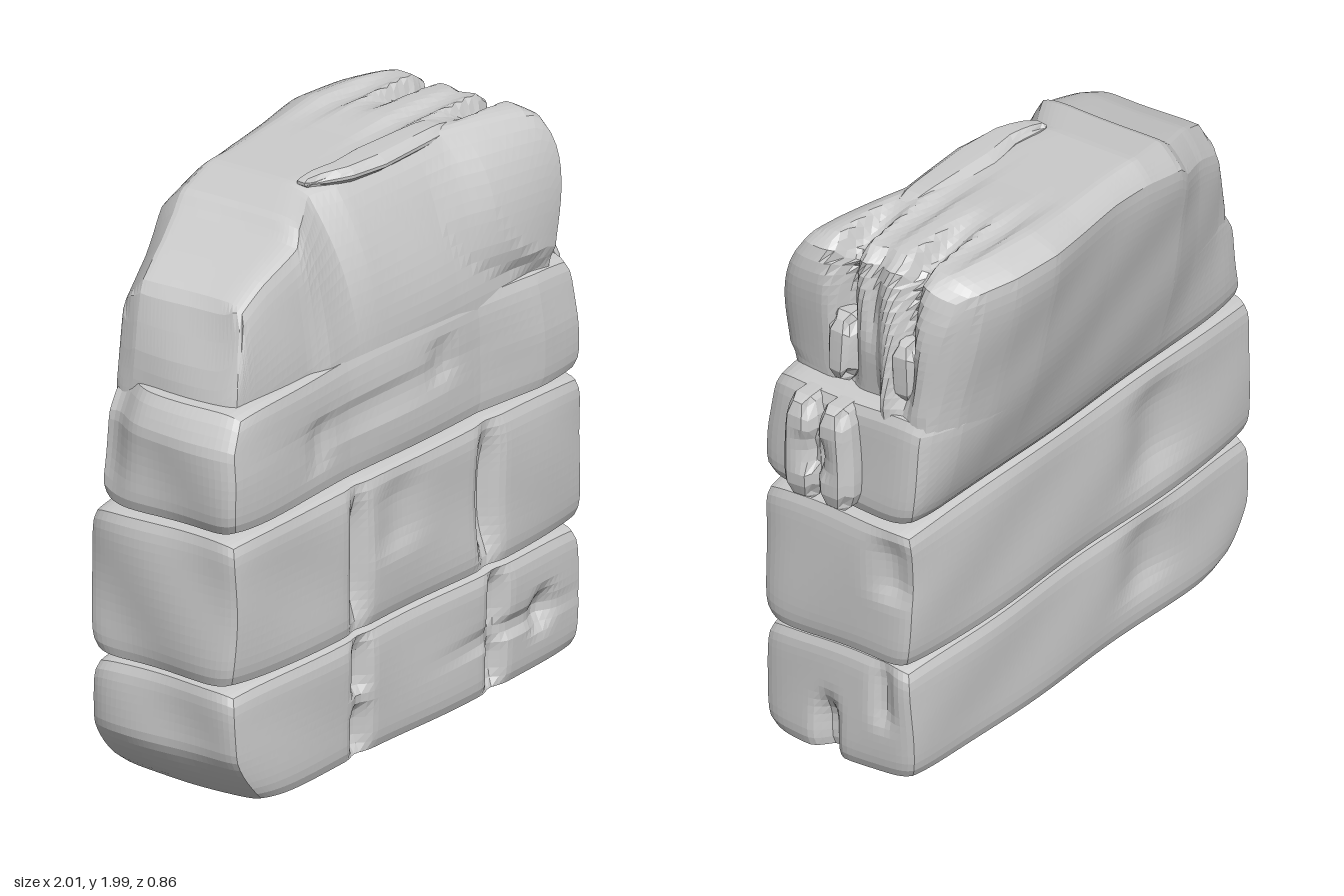
import * as THREE from 'three';

const stone = new THREE.MeshStandardMaterial({ color: 0xcccccc, flatShading: true });
const clamp01 = (v) => Math.min(Math.max(v, 0), 1);

// Piecewise-linear lookup through [t, value] pairs
function along(t, pts) {
  if (t <= pts[0][0]) return pts[0][1];
  for (let i = 1; i < pts.length; i++) {
    const [a, va] = pts[i - 1], [b, vb] = pts[i];
    if (t <= b) return va + (vb - va) * (t - a) / (b - a);
  }
  return pts[pts.length - 1][1];
}

// Where each axis finds the two coordinates that place a dent on its face
const ACROSS = { x: ['z', 'y'], y: ['x', 'z'], z: ['x', 'y'] };

// Worn block: a box with eased edges, reshaped by a rule, then dented.
// Dent: [axis, side, centre, half width, centre, half width, depth]; negative depth bulges.
function block(name, [x0, x1], [y0, y1], [z0, z1], round, segs, dents = [], shape = null) {
  const geo = new THREE.BoxGeometry(2, 2, 2, ...segs);
  const pos = geo.attributes.position;
  const q = new THREE.Vector3(), p = new THREE.Vector3();
  const mid = [(x0 + x1) / 2, (y0 + y1) / 2, (z0 + z1) / 2];
  const half = [(x1 - x0) / 2, (y1 - y0) / 2, (z1 - z0) / 2];
  for (let i = 0; i < pos.count; i++) {
    q.fromBufferAttribute(pos, i);
    const e = [q.x ** 8, q.y ** 8, q.z ** 8];
    const put = (k, v) => mid[k] + v * (half[k] - round * (e[(k + 1) % 3] + e[(k + 2) % 3]) / 2);
    p.set(put(0, q.x), put(1, q.y), put(2, q.z));
    if (shape) shape(p);
    const s = p.clone();
    for (const [axis, side, c1, w1, c2, w2, depth] of dents) {
      const [a, b] = ACROSS[axis];
      const facing = Math.max(q[axis] * side, 0) ** 6;
      const fall = Math.exp(-(((s[a] - c1) / w1) ** 2) - ((s[b] - c2) / w2) ** 4);
      p[axis] -= side * depth * facing * fall;
    }
    // Gentle weathering
    p.z += 0.007 * Math.sin(7 * s.x + 4 * s.y) * Math.sin(9 * s.y + 1) * q.z;
    p.x += 0.008 * Math.sin(11 * s.z + 9 * s.y) * q.x;
    pos.setXYZ(i, p.x, p.y, p.z);
  }
  geo.computeVertexNormals();
  const mesh = new THREE.Mesh(geo, stone);
  mesh.name = name;
  return mesh;
}

// Back face leans outwards as it rises, most on the right half
function backZ(x, y) {
  const far = along(x, [[-1, -0.2], [-0.8, -0.235], [-0.6, -0.3], [-0.45, -0.365], [0, -0.4], [0.4, -0.445], [0.6, -0.43], [0.75, -0.395], [0.84, -0.33], [0.91, -0.24]]);
  return -0.185 + (far + 0.185) * clamp01((y - 1) / 0.95) ** 0.68;
}

// Outline of the summit along x
const crest = [[-0.88, 1.46], [-0.79, 1.75], [-0.65, 1.81], [-0.46, 1.87], [-0.4, 1.92], [-0.2, 1.955], [0.2, 1.97], [0.4, 1.985], [0.75, 1.985], [0.84, 1.93]];

// Front of the crown: it slopes back to the summit, and a lobe swells on the right
function crownFront(x, y) {
  const low = along(x, [[-0.85, 0.33], [-0.48, 0.33], [-0.38, 0.35], [0.3, 0.355], [0.85, 0.38]]);
  const top = along(x, [[-0.85, 0.27], [-0.45, 0.25], [-0.22, 0.12], [-0.1, 0.17], [0.4, 0.22], [0.6, 0.28], [0.85, 0.36]]);
  const t = clamp01((y - 1.4) / 0.55);
  const rim = along(y, [[1.44, 0.7], [1.48, 0.5], [1.56, 0.36], [1.7, 0.28], [1.95, 0.28]]);
  return low + (top - low) * t ** 1.7 + 0.04 * clamp01((x - rim) / 0.22) * (1 - t ** 4);
}

function ledgeFront(x, y) {
  const z = along(x, [[-0.98, 0.41], [-0.6, 0.39], [-0.3, 0.375], [0.4, 0.375], [0.7, 0.415]]);
  return z - 0.015 * clamp01((y - 1.2) / 0.2);
}

export function createModel() {
  const g = new THREE.Group();
  g.name = 'stackedRock';

  // Bottom course, with upright joints on the front and right end
  g.add(block('bottomCourse', [-0.99, 0.905], [0, 0.46], [-0.205, 0.425], 0.03, [76, 14, 28], [
    ['z', 1, -0.305, 0.04, 0.33, 0.1, 0.06], ['z', 1, -0.305, 0.04, 0.11, 0.09, 0.06],
    ['z', 1, 0.43, 0.04, 0.33, 0.1, 0.06], ['z', 1, 0.43, 0.04, 0.11, 0.09, 0.06],
    ['z', 1, 0.5, 0.25, 0.22, 0.035, 0.02], ['z', 1, 0.68, 0.05, 0.22, 0.07, 0.035],
    ['x', 1, 0.16, 0.04, 0.06, 0.15, 0.07], ['x', 1, -0.08, 0.04, 0.32, 0.11, 0.03],
    ['z', -1, -0.4, 0.13, 0.28, 0.13, 0.035],
  ], (p) => {
    // lower left corner is worn away
    if (p.x < -0.6) p.x += 0.17 * ((-0.6 - p.x) / 0.4) * Math.max(0, 1 - p.y / 0.22) ** 1.5;
  }));

  // Middle course
  g.add(block('middleCourse', [-0.995, 0.925], [0.45, 1], [-0.21, 0.42], 0.03, [76, 16, 28], [
    ['z', 1, -0.31, 0.04, 0.72, 0.23, 0.06], ['z', 1, 0.4, 0.045, 0.72, 0.23, 0.07],
    ['z', 1, -0.1, 0.12, 0.82, 0.12, 0.025], ['x', 1, -0.12, 0.07, 0.83, 0.11, 0.035],
    ['z', -1, -0.45, 0.15, 0.75, 0.17, 0.04],
  ]));

  // Wide ledge around the foot of the crown, pinched at its back left corner
  g.add(block('ledge', [-0.985, 0.905], [0.99, 1.435], [0, 1], 0.035, [50, 12, 24], [
    ['z', 1, -0.15, 0.35, 1.22, 0.05, 0.015], ['z', 1, -0.47, 0.06, 1.18, 0.08, 0.015],
    ['z', 1, 0.2, 0.06, 1.26, 0.07, 0.015], ['x', -1, -0.16, 0.09, 1.3, 0.27, 0.07],
  ], (p) => {
    if (p.x < -0.7) p.x += 0.07 * Math.max(0, (p.y - 1.3) / 0.13) * (-p.x - 0.7) / 0.3;
    const back = backZ(p.x, p.y);
    p.z = back + (ledgeFront(p.x, p.y) - back) * p.z;
  }));

  // Crown: left shoulder, central dome and ribbed right side, rooted in the ledge
  g.add(block('crown', [-0.88, 0.83], [1.02, 1.985], [0, 1], 0.05, [60, 22, 32], [
    ['x', 1, 0.14, 0.04, 1.74, 0.3, 0.1], ['x', 1, -0.13, 0.04, 1.74, 0.3, 0.1],
    ['x', 1, 0.01, 0.03, 1.85, 0.2, 0.03],
    ['y', 1, 0.74, 0.17, 0.14, 0.04, 0.07], ['y', 1, 0.72, 0.2, -0.13, 0.04, 0.07],
    ['y', 1, 0.5, 0.25, 0.04, 0.04, 0.02], ['y', 1, 0.5, 0.2, -0.23, 0.04, 0.02],
  ], (p) => {
    const rise = (p.y - 1.02) / 0.965, depth = p.z;
    p.y = 1.02 + rise * (along(p.x, crest) - 1.02);
    // the rear rim of the summit is bevelled, most on the left shoulder
    const bevel = along(p.x, [[-0.88, 0.1], [-0.45, 0.08], [0, 0.04], [0.85, 0.04]]);
    p.y -= bevel * rise ** 3 * Math.max(0, 1 - depth / 0.18);
    if (p.x > 0.6) {
      // right end: undercut in front, splayed at the foot behind
      const out = (p.x - 0.6) / 0.23;
      p.x += 0.03 * out * Math.sin((p.y - 1.55) * 5);
      p.x += 0.09 * out * clamp01((0.4 - depth) / 0.15) * clamp01((1.85 - p.y) / 0.4);
    }
    const back = backZ(p.x, p.y);
    p.z = back + (crownFront(p.x, p.y) - back) * depth;
  }));

  // Thin flake along the front of the summit, tapering to the left
  g.add(block('summitFlake', [-0.2, 0.5], [1.925, 1.99], [0.04, 0.2], 0.03, [14, 3, 6], [], (p) => {
    const centre = along(p.x, [[-0.2, 0.08], [-0.05, 0.13], [0.5, 0.14]]);
    p.z = centre + (p.z - 0.12) * along(p.x, [[-0.2, 0.4], [0.1, 1], [0.5, 0.7]]);
  }));

  // Pebbles wedged between the ribs on the right end
  for (const z of [0.15, -0.12])
    g.add(block('wedgedPebble', [0.7, 0.865], [1.44, 1.7], [z - 0.065, z + 0.065], 0.04, [4, 6, 5]));

  // Knobs on the right end of the ledge
  for (const z of [0.22, 0.085])
    g.add(block('ledgeKnob', [0.8, 0.995], [1.02, 1.42], [z - 0.065, z + 0.065], 0.035, [5, 8, 6],
      [['x', 1, 0.155, 0.05, 1.22, 0.06, 0.05]]));

  return g;
}
